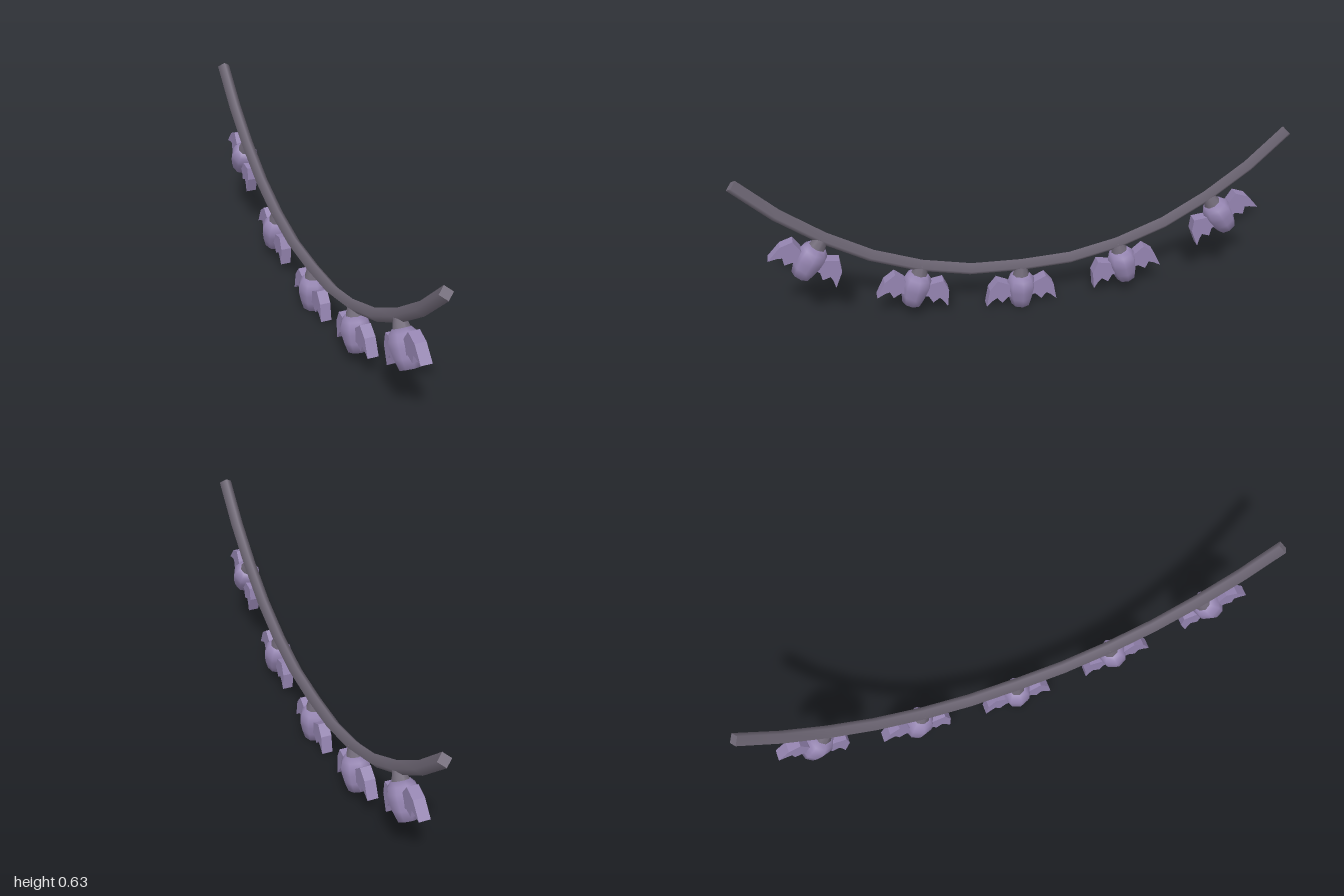
import * as THREE from 'three';

export function createModel() {
  const root = new THREE.Group();
  root.name = 'batGarland';
  const cordMat = new THREE.MeshStandardMaterial({ color: 0x6f6876 });
  cordMat.name = 'dusky grey';
  const batMat = new THREE.MeshStandardMaterial({ color: 0x9484b0 });
  batMat.name = 'lavender';

  const add = (parent, name, geometry, material) => {
    const mesh = new THREE.Mesh(geometry, material);
    mesh.name = name;
    parent.add(mesh);
    return mesh;
  };

  // Hanging cord: a four-sided tube along a sagging curve, mirrored in z
  const half = [[0.19, 0.175], [0.37, 0.215], [0.54, 0.28], [0.7, 0.372], [0.85, 0.483], [0.983, 0.611]];
  const path = [...half.map(([z, y]) => [-z, y]).reverse(), [0, 0.167], ...half];
  const curve = new THREE.CatmullRomCurve3(path.map(([z, y]) => new THREE.Vector3(0, y, z)));
  const radius = 0.024;
  add(root, 'cord', new THREE.TubeGeometry(curve, 12, radius, 4), cordMat);
  for (const t of [0, 1]) {
    const end = add(root, 'cordEnd', new THREE.CircleGeometry(radius, 4), cordMat);
    const p = curve.getPointAt(t);
    const out = curve.getTangentAt(t).multiplyScalar(t ? 1 : -1);
    end.position.copy(p);
    end.lookAt(p.clone().add(out));
  }

  // Body: rounded barrel with a flat underside
  const bodyGeo = new THREE.LatheGeometry(
    [[0, 0], [0.035, 0], [0.046, 0.035], [0.053, 0.068], [0.054, 0.09], [0.047, 0.112], [0.033, 0.128], [0, 0.13]]
      .map(([r, y]) => new THREE.Vector2(r, y - 0.165)), 8);
  const neckGeo = new THREE.CylinderGeometry(0.02, 0.034, 0.05, 8);

  // Wing: scalloped outline, thick across x
  const wingShape = new THREE.Shape(
    [[0.03, 0.085], [0.052, 0.1], [0.09, 0.118], [0.12, 0.08], [0.132, 0.013], [0.108, 0.036],
      [0.093, 0.045], [0.074, 0.022], [0.052, 0.045], [0.03, 0.045]]
      .map(([z, y]) => new THREE.Vector2(z, y - 0.165)));
  const wingGeo = new THREE.ExtrudeGeometry(wingShape, { depth: 0.04, bevelEnabled: false });
  wingGeo.translate(0, 0, -0.02);

  // Five bats hanging square to the cord
  for (const [z, y, tilt] of [[0, 0.165, 0], [0.363, 0.218, 15.5], [0.703, 0.372, 32]]) {
    for (const side of z ? [1, -1] : [1]) {
      const bat = new THREE.Group();
      bat.name = 'bat';
      bat.position.set(0, y, z * side);
      bat.rotation.x = -side * THREE.MathUtils.degToRad(tilt);
      add(bat, 'body', bodyGeo, batMat);
      add(bat, 'neck', neckGeo, cordMat).position.y = -0.024;
      add(bat, 'frontWing', wingGeo, batMat).rotation.y = -Math.PI / 2;
      add(bat, 'backWing', wingGeo, batMat).rotation.y = Math.PI / 2;
      root.add(bat);
    }
  }
  return root;
}
